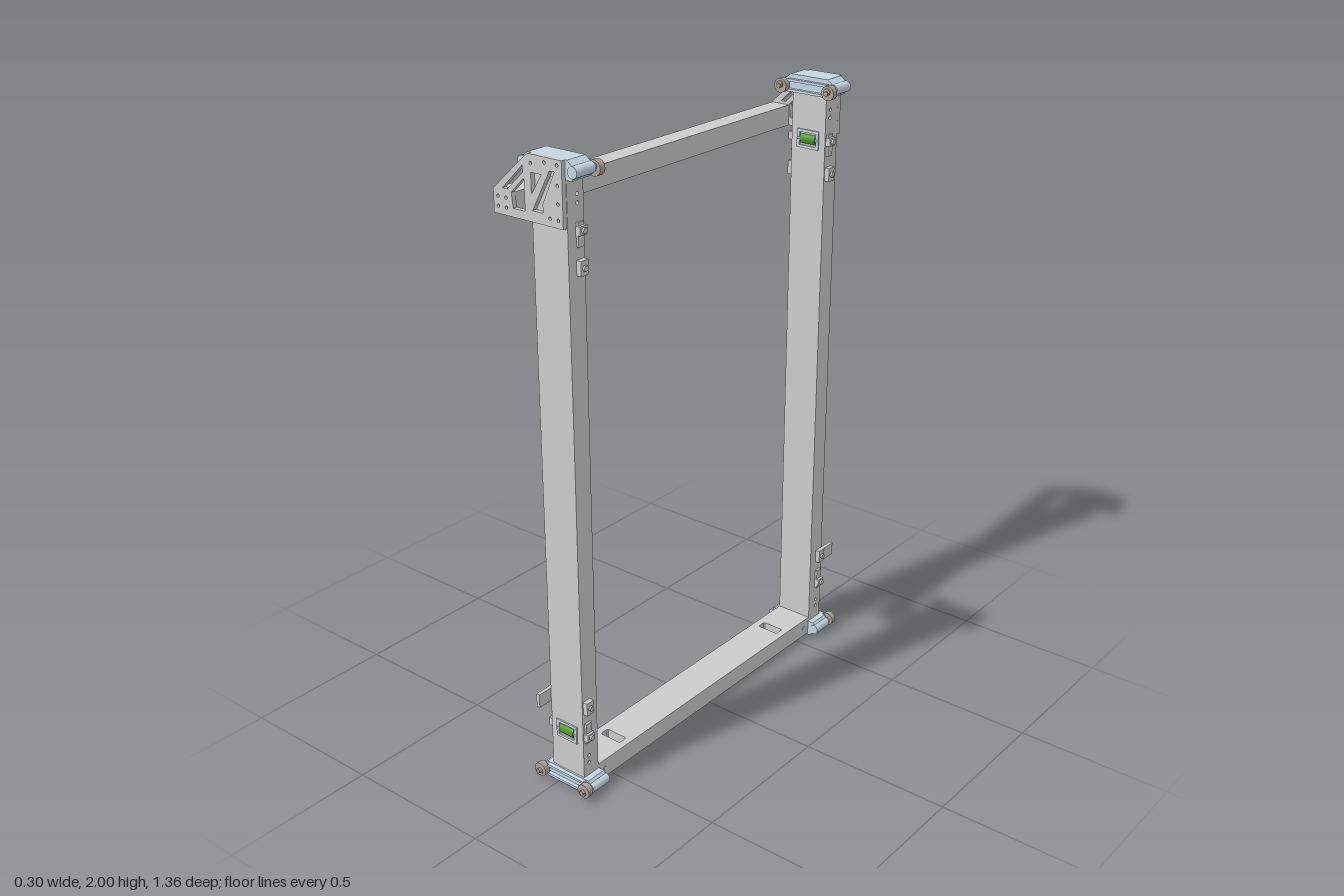
import * as THREE from 'three';

const grey = new THREE.MeshStandardMaterial({ color: 0xcccccc });
const steel = new THREE.MeshStandardMaterial({ color: 0xc4d6e4 });
const bronze = new THREE.MeshStandardMaterial({ color: 0xaaa296 });
const green = new THREE.MeshStandardMaterial({ color: 0x4f9a2c });

const CX = 0.0385;    // middle of the columns in x
const CZ = 0.5975;    // middle of the columns in z
const W = 0.128, D = 0.065;

function add(parent, name, geo, mat, x = 0, y = 0, z = 0) {
  const m = new THREE.Mesh(geo, mat);
  m.name = name;
  m.position.set(x, y, z);
  parent.add(m);
  return m;
}
const box = (w, h, d) => new THREE.BoxGeometry(w, h, d);
const rodZ = (r, l, n = 20) => new THREE.CylinderGeometry(r, r, l, n).rotateX(Math.PI / 2);
const rodX = (r, l, n = 20) => new THREE.CylinderGeometry(r, r, l, n).rotateZ(Math.PI / 2);
const poly = pts => pts.map(p => new THREE.Vector2(...p));

function hole(x, y, r) {
  const p = new THREE.Path();
  p.absarc(x, y, r, 0, Math.PI * 2, true);
  return p;
}
function plate(outline, holes, depth) {
  const s = new THREE.Shape(poly(outline));
  s.holes.push(...holes);
  return new THREE.ExtrudeGeometry(s, { depth, bevelEnabled: false, curveSegments: 6 });
}
function rect(x0, y0, x1, y1) {
  return [[x0, y0], [x1, y0], [x1, y1], [x0, y1]];
}

// Fittings of one column end: y rises from the end, +z is the wheel side
function makeEnd() {
  const g = new THREE.Group();
  g.name = 'columnEnd';

  // Cap with sloping shoulders and a lug for each axle
  add(g, 'endCap', plate([[-0.07, 0], [0.07, 0], [0.097, 0.02], [0.097, 0.04],
    [0.085, 0.055], [-0.085, 0.055], [-0.097, 0.04], [-0.097, 0.02]], [], 0.073),
  steel, 0, 0, -0.035);
  for (const y of [0.018, 0.05]) {
    add(g, 'capRail', box(0.15, 0.008, 0.014), steel, 0, y, 0.044);
  }
  for (const s of [-1, 1]) {
    const x = s * 0.09;
    add(g, 'axleLug', rodZ(0.017, 0.075), steel, x, 0.03, 0);
    add(g, 'axle', rodZ(0.011, 0.1), bronze, x, 0.03, 0.022);
    add(g, 'wheel', rodZ(0.023, 0.02, 28), bronze, x, 0.035, 0.057);
    add(g, 'axleNut', rodZ(0.008, 0.012, 6), bronze, x, 0.035, 0.071);

    // Clips on the column sides
    const side = s * (W / 2 + 0.007);
    add(g, 'upperClip', box(0.018, 0.044, 0.03), grey, side, 0.305, 0.013);
    add(g, 'upperClipBolt', rodX(0.009, 0.008, 6), grey, s * (W / 2 + 0.019), 0.305, 0.013);
    add(g, 'lowerClip', box(0.018, 0.026, 0.03), grey, side, 0.2, 0.013);
    add(g, 'clipArm', box(0.008, 0.07, 0.024), grey, s * (W / 2 + 0.003), 0.212, 0.012);
    add(g, 'lowerClipBolt', rodX(0.009, 0.008, 6), grey, s * (W / 2 + 0.019), 0.2, 0.013);
  }

  // Framed green roller on the column face
  const frame = plate(rect(-0.041, -0.03, 0.041, 0.03),
    [new THREE.Path(poly(rect(-0.031, -0.021, 0.031, 0.021).reverse()))], 0.005);
  add(g, 'rollerFrame', frame, steel, 0, 0.2, D / 2);
  add(g, 'roller', rodX(0.019, 0.056, 24), green, 0, 0.2, D / 2 - 0.011);
  add(g, 'rollerPin', rodX(0.005, 0.08, 10), bronze, 0, 0.2, D / 2 + 0.002);
  return g;
}

// Column with fittings at both ends; the top set is the bottom set turned over
function makeColumn() {
  const g = new THREE.Group();
  g.name = 'columnAssembly';
  const holes = [0.1, 0.125, 0.235, 1.765, 1.875, 1.9]
    .map(y => hole(y > 1 ? 0.008 : -0.008, y, 0.006));
  const geo = plate(rect(-D / 2, 0.004, D / 2, 1.996), holes, W);
  geo.translate(0, 0, -W / 2).rotateY(Math.PI / 2);
  add(g, 'column', geo, grey);
  g.add(makeEnd());
  const top = makeEnd();
  top.rotation.x = Math.PI;
  top.position.y = 2;
  g.add(top);
  // Tab standing out from one side near the foot
  add(g, 'sideTab', box(0.012, 0.045, 0.085), grey, -W / 2 - 0.007, 0.305, 0.04);
  return g;
}

// Gusset plate with an arm carrying the rear beam
function makeGusset() {
  const windows = [
    [[-0.085, 1.882], [-0.036, 1.93], [-0.036, 1.838], [-0.08, 1.838]],
    [[-0.118, 1.888], [-0.04, 1.965], [-0.04, 1.945], [-0.1, 1.888]],
    [[-0.008, 1.845], [0.058, 1.965], [0.075, 1.965], [0.03, 1.87], [0.03, 1.845]],
    [[-0.01, 1.89], [-0.01, 1.95], [0.028, 1.95]],
  ].map(p => {
    if (THREE.ShapeUtils.area(poly(p)) > 0) p.reverse();
    return new THREE.Path(poly(p));
  });
  const bolts = [[-0.136, 1.835], [-0.106, 1.835], [-0.136, 1.863], [-0.106, 1.863],
    [0.085, 1.985], [0.04, 1.985], [-0.01, 1.975], [0.085, 1.93], [0.085, 1.88],
    [0.085, 1.835], [0.055, 1.835]].map(([x, y]) => hole(x, y, 0.005));
  return plate([[-0.153, 1.813], [0.102, 1.813], [0.102, 2], [-0.018, 2],
    [-0.03, 1.993], [-0.153, 1.882]], [...windows, ...bolts], 0.015);
}

export function createModel() {
  const model = new THREE.Group();
  model.name = 'portalFrame';

  for (const s of [1, -1]) {
    const col = makeColumn();
    col.position.set(CX, 0, s * CZ);
    if (s < 0) col.rotation.y = Math.PI;
    model.add(col);
    add(model, 'gussetPlate', makeGusset(), grey, 0, 0, s > 0 ? 0.631 : -0.646);
  }

  // Bottom beam with a slot near each end
  const slots = [-0.421, 0.421].map(y =>
    new THREE.Path(poly([[0, y - 0.012], [0, y + 0.012], [0.004, y + 0.016], [0.074, y + 0.016],
      [0.078, y + 0.012], [0.078, y - 0.012], [0.074, y - 0.016], [0.004, y - 0.016]])));
  const beam = plate(rect(CX - W / 2, -0.567, CX + W / 2, 0.567), slots, 0.063);
  beam.rotateX(-Math.PI / 2);
  add(model, 'bottomBeam', beam, grey, 0, 0.006, 0);
  for (const z of [-0.535, 0.535]) {
    add(model, 'beamBolt', rodX(0.007, W + 0.004, 12), steel, CX, 0.037, z);
  }

  // Rear top beam
  add(model, 'rearBeam', box(0.067, 0.066, 1.264), grey, -0.1195, 1.846, 0);
  return model;
}
